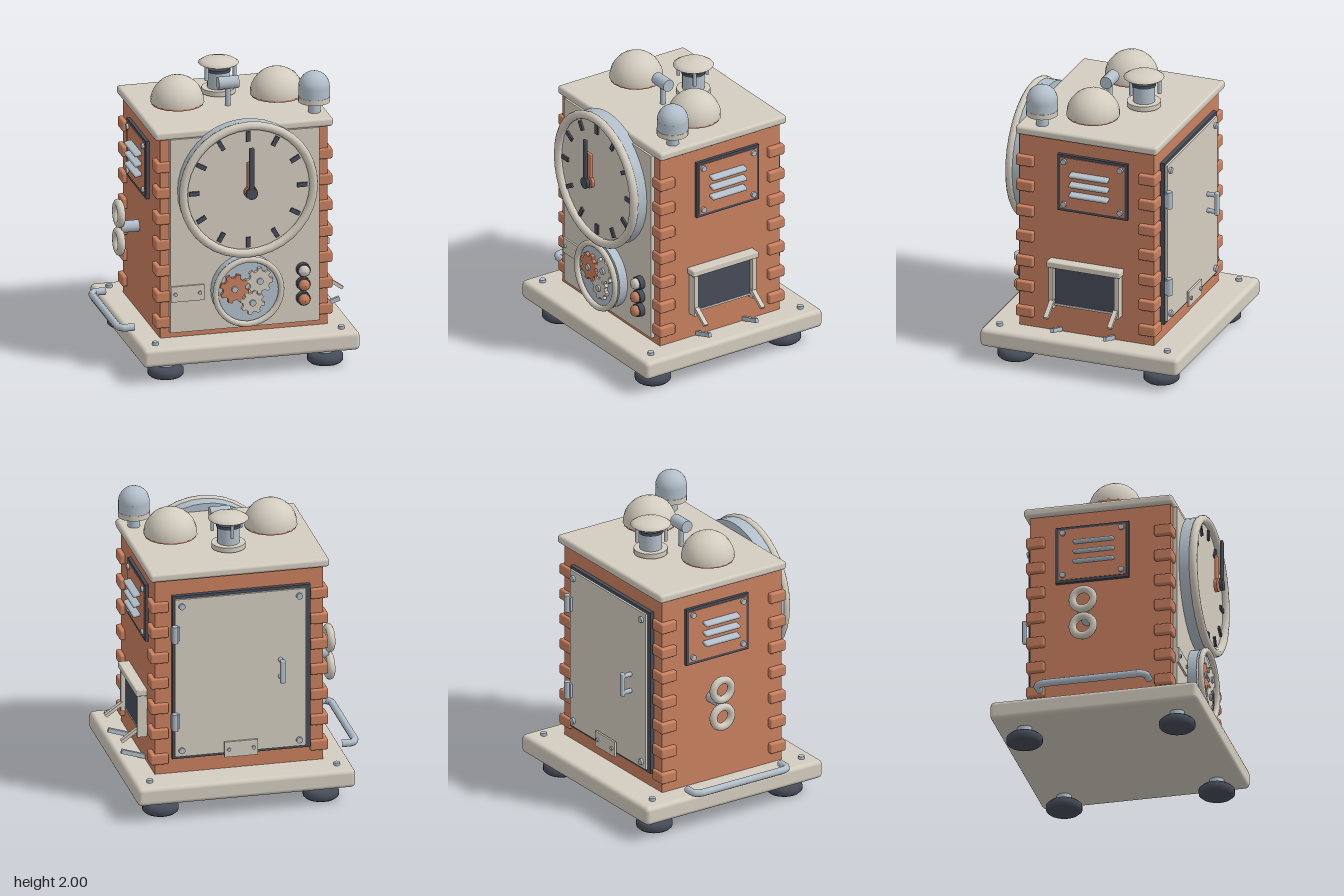
import * as THREE from 'three';
import { RoundedBoxGeometry } from 'three/addons/geometries/RoundedBoxGeometry.js';

export function createModel() {
  const mat = (name, color) => {
    const m = new THREE.MeshStandardMaterial({ color });
    m.name = name;
    return m;
  };
  const cream = mat('cream', 0xd3ccbf), copper = mat('copper', 0xc9805f);
  const steel = mat('steel', 0xb2bfca), dark = mat('slate', 0x464c59);

  const model = new THREE.Group();
  model.name = 'clockMachine';
  const root = new THREE.Group();
  root.name = 'machine';
  root.position.x = 0.05;
  model.add(root);

  const add = (name, geo, m, x, y, z) => {
    const mesh = new THREE.Mesh(geo, m);
    mesh.name = name;
    mesh.position.set(x, y, z);
    root.add(mesh);
    return mesh;
  };
  const box = (name, m, w, h, d, x, y, z, r = 0) =>
    add(name, r ? new RoundedBoxGeometry(w, h, d, 2, r) : new THREE.BoxGeometry(w, h, d), m, x, y, z);
  // Cylinder of length len centred on a point, along the axis 'x', 'y' or 'z'
  const cyl = (name, m, r, len, x, y, z, axis = 'y', seg = 20, rTop = r) => {
    const g = new THREE.CylinderGeometry(rTop, r, len, seg);
    if (axis === 'x') g.rotateZ(-Math.PI / 2);
    if (axis === 'z') g.rotateX(Math.PI / 2);
    return add(name, g, m, x, y, z);
  };
  const ring = (name, m, R, t, x, y, z, seg = 28) =>
    add(name, new THREE.TorusGeometry(R, t, 10, seg), m, x, y, z);
  const lathe = (name, m, pts, x, y, z, seg = 18) =>
    add(name, new THREE.LatheGeometry(pts.map(p => new THREE.Vector2(...p)), seg), m, x, y, z);
  const tube = (name, m, pts, r) => {
    const path = new THREE.CurvePath();
    const v = pts.map(p => new THREE.Vector3(...p));
    for (let i = 1; i < v.length; i++) path.add(new THREE.LineCurve3(v[i - 1], v[i]));
    return add(name, new THREE.TubeGeometry(path, 40, r, 10), m, 0, 0, 0);
  };

  // Base plate, feet and plate bolts
  box('basePlate', cream, 1.5, 0.13, 1.43, 0, 0.185, -0.005, 0.03);
  for (const sx of [-1, 1]) for (const sz of [-1, 1]) {
    lathe('foot', dark, [[0, 0], [0.105, 0], [0.122, 0.015], [0.122, 0.05], [0.1, 0.07], [0, 0.07]],
      sx * 0.553, 0, sz * 0.527, 20);
    cyl('footStem', steel, 0.05, 0.06, sx * 0.553, 0.097, sz * 0.527);
    cyl('baseBolt', steel, 0.022, 0.025, sx * 0.645, 0.258, sz * 0.605, 'y', 10);
  }

  // Cabinet with corner blocks, lid and front panel
  box('cabinet', copper, 1.16, 1.42, 0.97, 0, 0.955, 0.003);
  for (const sx of [-1, 1]) for (const sz of [-1, 1]) for (let i = 0; i < 7; i++)
    box('cornerBlock', copper, 0.125, 0.075, 0.125, sx * 0.55, 0.36 + i * 0.1835, sz * 0.442, 0.012);
  box('lid', cream, 1.235, 0.06, 1.025, 0, 1.683, -0.006, 0.02);
  box('frontPanel', cream, 1.035, 1.37, 0.04, 0, 0.975, 0.497);

  // Clock drum, face, bezel and hour marks
  const clockY = 1.295;
  cyl('clockDrum', steel, 0.468, 0.09, 0, clockY, 0.545, 'z', 40);
  cyl('clockFace', cream, 0.45, 0.008, 0, clockY, 0.594, 'z', 40);
  ring('clockBezel', cream, 0.452, 0.03, 0, clockY, 0.61, 36);
  for (let i = 0; i < 12; i++) {
    const a = i * Math.PI / 6;
    const mark = box('hourMark', dark, 0.03, 0.07, 0.014,
      Math.sin(a) * 0.375, clockY + Math.cos(a) * 0.375, 0.604);
    mark.rotation.z = -a;
  }
  box('hourHand', copper, 0.055, 0.22, 0.022, 0, 1.4, 0.662, 0.008);
  cyl('hourHub', copper, 0.046, 0.024, 0, clockY, 0.662, 'z');
  box('minuteHand', dark, 0.035, 0.33, 0.022, 0, 1.455, 0.698, 0.008);
  cyl('minuteHub', dark, 0.04, 0.024, 0, clockY, 0.698, 'z');

  // Gear window with three gears
  cyl('gearDrum', steel, 0.238, 0.07, 0, 0.57, 0.545, 'z', 32);
  ring('gearBezel', cream, 0.228, 0.021, 0, 0.57, 0.61, 32);
  const gear = (m, r, x, y, turn) => {
    const s = new THREE.Shape(), teeth = 8;
    for (let i = 0; i < teeth; i++) {
      [[0, 0.78], [0.3, 0.78], [0.42, 1], [0.78, 1], [0.9, 0.78]].forEach(([t, k], j) => {
        const a = (i + t) / teeth * Math.PI * 2 + turn;
        s[i + j ? 'lineTo' : 'moveTo'](Math.cos(a) * r * k, Math.sin(a) * r * k);
      });
    }
    s.closePath();
    add('gear', new THREE.ExtrudeGeometry(s, { depth: 0.025, bevelEnabled: false }), m, x, y, 0.583);
    cyl('gearPin', steel, 0.022, 0.02, x, y, 0.612, 'z', 12);
  };
  gear(copper, 0.102, -0.095, 0.595, 0);
  gear(cream, 0.092, 0.08, 0.637, 0.3);
  gear(cream, 0.085, 0.03, 0.488, 0.1);

  // Push buttons
  [[0.665, cream], [0.565, copper], [0.462, copper]].forEach(([y, m]) => {
    cyl('buttonCollar', dark, 0.047, 0.04, 0.4, y, 0.535, 'z');
    const cap = lathe('buttonCap', m, [[0.038, 0], [0.038, 0.025], [0.028, 0.04], [0, 0.046]], 0.4, y, 0.55, 16);
    cap.rotation.x = Math.PI / 2;
  });

  // Small plates on the front and on the door
  const tag = (x, y, z, dir) => {
    box('tagPlate', cream, 0.23, 0.11, 0.014, x, y, z);
    for (const s of [-1, 1]) cyl('tagScrew', steel, 0.013, 0.014, x + s * 0.085, y, z + dir * 0.011, 'z', 10);
  };
  tag(-0.4, 0.565, 0.523, 1);
  tag(0, 0.41, -0.543, -1);

  // Louvred vents on both sides
  for (const s of [-1, 1]) {
    box('ventFrame', dark, 0.03, 0.41, 0.505, s * 0.588, 1.347, -0.048);
    box('ventPanel', copper, 0.03, 0.37, 0.465, s * 0.592, 1.347, -0.048);
    for (const y of [1.28, 1.353, 1.425]) {
      const louvre = box('louvre', steel, 0.055, 0.025, 0.28, s * 0.63, y, -0.033, 0.011);
      louvre.rotation.z = -s * 0.25;
    }
    for (const y of [1.195, 1.505]) for (const z of [-0.25, 0.155])
      cyl('ventScrew', steel, 0.02, 0.02, s * 0.613, y, z, 'x', 10);
  }

  // Firebox opening with struts below
  box('fireboxDoor', dark, 0.05, 0.28, 0.44, 0.59, 0.595, 0.003);
  box('fireboxHood', cream, 0.08, 0.045, 0.53, 0.615, 0.753, 0, 0.008);
  box('fireboxSill', cream, 0.04, 0.014, 0.45, 0.598, 0.454, 0);
  for (const s of [-1, 1]) {
    box('fireboxPost', cream, 0.065, 0.31, 0.032, 0.612, 0.585, s * 0.235);
    const strut = box('creamStrut', cream, 0.15, 0.022, 0.032, 0.69, 0.447, s * 0.23);
    strut.rotation.z = -0.62;
    const foot = box('steelStrut', steel, 0.17, 0.03, 0.022, 0.66, 0.29, s * 0.19);
    foot.rotation.z = 0.31;
  }

  // Winding key on the other side
  cyl('keyShaft', steel, 0.04, 0.14, -0.635, 0.857, -0.085, 'x');
  for (const y of [0.955, 0.757]) {
    const loop = ring('keyLoop', cream, 0.072, 0.027, -0.715, y, -0.085, 20);
    loop.rotation.y = Math.PI / 2;
  }

  // Carrying rail beside the base
  tube('carryRail', steel, [[-0.73, 0.305, -0.38], [-0.81, 0.305, -0.38], [-0.835, 0.305, -0.34],
    [-0.835, 0.305, 0.34], [-0.81, 0.305, 0.375], [-0.73, 0.305, 0.375]], 0.025);

  // Back door with screws, hinges and handle
  box('doorFrame', dark, 0.95, 1.18, 0.03, -0.01, 0.95, -0.497);
  box('backDoor', cream, 0.9, 1.14, 0.04, 0, 0.95, -0.507);
  for (const x of [-0.405, 0.405]) for (const y of [0.425, 1.47])
    cyl('doorScrew', steel, 0.022, 0.02, x, y, -0.534, 'z', 10);
  for (const y of [0.64, 1.275]) {
    box('hingeLeaf', steel, 0.06, 0.1, 0.02, 0.45, y, -0.53);
    cyl('hingePin', steel, 0.022, 0.12, 0.455, y, -0.543, 'y', 12);
  }
  box('doorGrip', steel, 0.035, 0.17, 0.03, -0.275, 0.96, -0.595, 0.01);
  for (const y of [0.9, 1.02]) cyl('gripPost', steel, 0.016, 0.08, -0.275, y, -0.555, 'z', 10);

  // Alarm bells and hammer
  for (const s of [-1, 1]) {
    cyl('bellStem', steel, 0.035, 0.09, s * 0.345, 1.735, 0.05);
    cyl('bellRim', copper, 0.176, 0.014, s * 0.345, 1.759, 0.05, 'y', 18);
    add('bell', new THREE.SphereGeometry(0.182, 18, 8, 0, Math.PI * 2, 0, Math.PI / 2), cream, s * 0.345, 1.764, 0.05);
  }
  cyl('hammerPost', steel, 0.02, 0.15, 0, 1.78, 0.07, 'y', 12);
  cyl('hammerHead', steel, 0.043, 0.14, 0, 1.873, 0.07, 'x');

  // Steam valve with mushroom cap
  const vz = -0.178;
  cyl('valveFlange', cream, 0.115, 0.035, 0, 1.743, vz);
  cyl('valveBody', steel, 0.075, 0.17, 0, 1.795, vz);
  cyl('valveBand', dark, 0.082, 0.022, 0, 1.885, vz);
  cyl('valveStem', steel, 0.022, 0.07, 0, 1.915, vz, 'y', 12);
  lathe('valveCap', cream, [[0, 1.925], [0.125, 1.925], [0.138, 1.935], [0.11, 1.953], [0.06, 1.967], [0, 1.971]], 0, 0, vz);
  for (let i = 0; i < 3; i++) {
    const a = Math.PI / 6 + i * Math.PI * 2 / 3;
    cyl('capPin', steel, 0.013, 0.1, Math.cos(a) * 0.112, 1.88, vz + Math.sin(a) * 0.112, 'y', 8);
  }

  // Beacon lamp
  cyl('beaconStem', steel, 0.042, 0.1, 0.525, 1.75, 0.347);
  cyl('beaconCollar', cream, 0.108, 0.036, 0.525, 1.807, 0.347);
  cyl('beaconGlass', steel, 0.106, 0.075, 0.525, 1.858, 0.347);
  add('beaconDome', new THREE.SphereGeometry(0.106, 20, 8, 0, Math.PI * 2, 0, Math.PI / 2), steel, 0.525, 1.894, 0.347);

  return model;
}
